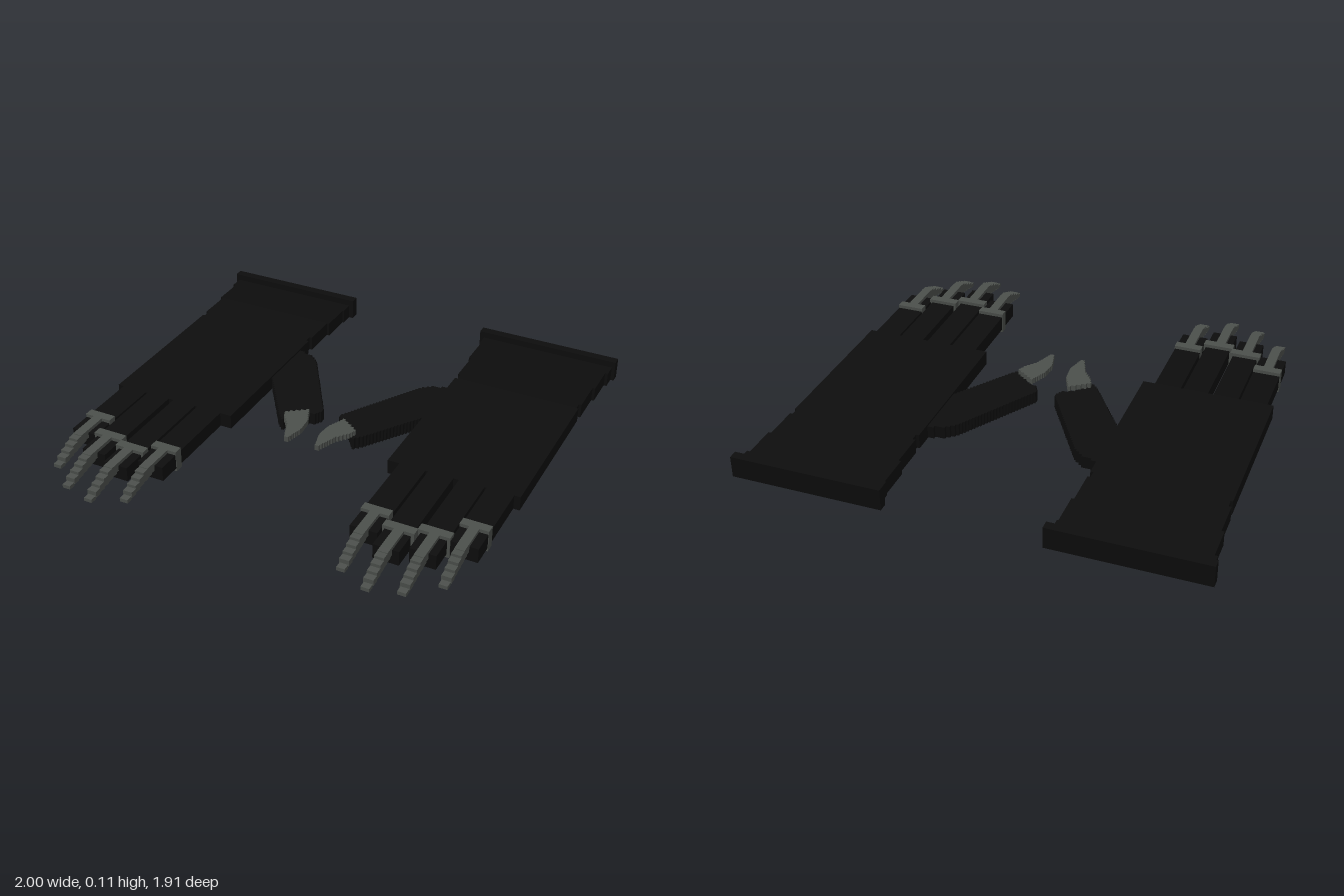
import * as THREE from 'three';

const black = new THREE.MeshStandardMaterial({ name: 'blackFabric', color: 0x0d0d0d });
const steel = new THREE.MeshStandardMaterial({ name: 'darkSteel', color: 0x4c504c });

// Box given by its limits on each axis; side mirrors it in x
function box(name, side, [x0, x1], [y0, y1], [z0, z1], material) {
  const mesh = new THREE.Mesh(new THREE.BoxGeometry(x1 - x0, y1 - y0, z1 - z0), material);
  mesh.position.set(side * (x0 + x1) / 2, (y0 + y1) / 2, (z0 + z1) / 2);
  mesh.name = name;
  return mesh;
}

// Horizontal slab whose outline is cut into small stair steps
function steppedSlab(name, side, outline, [y0, y1], material, step = 0.014) {
  const zs = outline.map(p => p[1]);
  const zMin = Math.min(...zs), zMax = Math.max(...zs);
  const rows = Math.round((zMax - zMin) / step), dz = (zMax - zMin) / rows;
  const near = [], far = [];
  for (let i = 0; i < rows; i++) {
    const z = zMin + (i + 0.5) * dz, hits = [];
    outline.forEach(([ax, az], k) => {
      const [bx, bz] = outline[(k + 1) % outline.length];
      if ((az > z) !== (bz > z)) hits.push(ax + (bx - ax) * (z - az) / (bz - az));
    });
    const lo = Math.min(...hits), hi = Math.max(...hits);
    near.push([lo, z - dz / 2], [lo, z + dz / 2]);
    far.push([hi, z - dz / 2], [hi, z + dz / 2]);
  }
  const points = [...near, ...far.reverse()].map(([x, z]) => new THREE.Vector2(side * x, -z));
  const geometry = new THREE.ExtrudeGeometry(new THREE.Shape(points), { depth: y1 - y0, bevelEnabled: false });
  geometry.rotateX(-Math.PI / 2).translate(0, y0, 0);
  const mesh = new THREE.Mesh(geometry, material);
  mesh.name = name;
  return mesh;
}

// Claw of short blocks that curve down to a tip
function claw(name, side, x, z0, length) {
  const group = new THREE.Group();
  group.name = name;
  const tops = [0.095, 0.095, 0.095, 0.095, 0.095, 0.092, 0.08, 0.066, 0.053, 0.034];
  const bottoms = [0.07, 0.066, 0.062, 0.056, 0.05, 0.045, 0.04, 0.034, 0.027, 0.018];
  const dz = length / tops.length;
  tops.forEach((top, i) => {
    const w = i === 9 ? 0.018 : 0.021;
    const z = z0 + i * dz;
    group.add(box('clawSegment', side, [x - w, x + w], [bottoms[i], top], [z, z + dz], steel));
  });
  return group;
}

const BODY = [0.015, 0.08];

// x range, finger end, ring x range, ring start, claw centre
const fingers = [
  ['index', [0.428, 0.545], 0.687, [0.426, 0.547], 0.545, 0.487],
  ['middle', [0.557, 0.668], 0.755, [0.547, 0.682], 0.607, 0.618],
  ['ring', [0.692, 0.803], 0.715, [0.68, 0.815], 0.57, 0.75],
  ['little', [0.812, 0.93], 0.606, [0.81, 0.932], 0.465, 0.871],
];

const thumbOutline = [[0.38, -0.43], [0.31, -0.415], [0.262, -0.375], [0.04, -0.01], [0.06, 0.025],
  [0.11, 0.05], [0.17, 0.13], [0.2, 0.1], [0.38, -0.165]];
const thumbClawOutline = [[0.085, 0.04], [0.17, 0.1], [0.155, 0.135], [0.115, 0.185], [0.08, 0.275],
  [0.065, 0.275], [0.043, 0.19], [0.05, 0.12]];

function createGlove(side, name) {
  const glove = new THREE.Group();
  glove.name = name;

  // Sleeve narrowing in steps from the raised rim to the palm
  glove.add(box('cuffRim', side, [0.337, 1], [0.015, 0.11], [-0.96, -0.92], black));
  const sleeve = [
    [0.358, 0.985, -0.92, -0.86], [0.364, 0.972, -0.86, -0.71],
    [0.375, 0.96, -0.71, -0.55], [0.388, 0.948, -0.55, -0.515],
  ];
  for (const [x0, x1, z0, z1] of sleeve) glove.add(box('sleeve', side, [x0, x1], BODY, [z0, z1], black));
  glove.add(box('palm', side, [0.375, 0.957], BODY, [-0.515, 0.22], black));

  // Fingers with a steel band and claw each
  for (const [label, xs, end, ringXs, ringZ, clawX] of fingers) {
    glove.add(box(label + 'Finger', side, xs, BODY, [0.22, end], black));
    glove.add(box(label + 'Band', side, ringXs, [0, 0.095], [ringZ, ringZ + 0.04], steel));
    glove.add(claw(label + 'Claw', side, clawX, ringZ + 0.04, 0.303));
  }

  // Thumb and its flat claw
  glove.add(steppedSlab('thumb', side, thumbOutline, [0.017, 0.072], black));
  glove.add(steppedSlab('thumbClaw', side, thumbClawOutline, [0.07, 0.095], steel));
  return glove;
}

export function createModel() {
  const model = new THREE.Group();
  model.name = 'clawedGloves';
  model.add(createGlove(1, 'leftGlove'), createGlove(-1, 'rightGlove'));
  return model;
}
